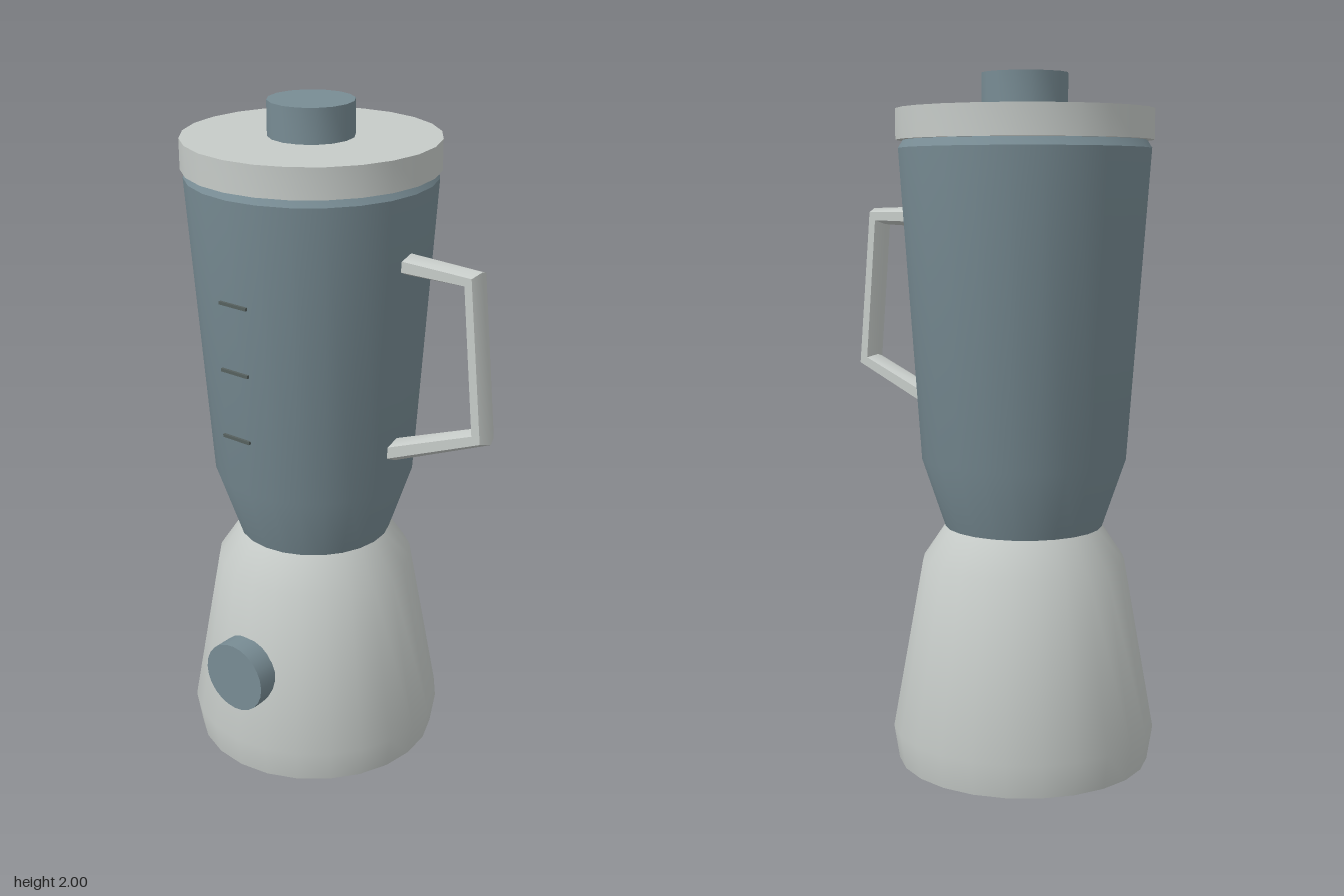
import * as THREE from 'three';
import { toCreasedNormals } from 'three/addons/utils/BufferGeometryUtils.js';

const grey = new THREE.MeshStandardMaterial({ color: 0xc6cbc8 });
const blue = new THREE.MeshStandardMaterial({ color: 0x788c94 });
const dark = new THREE.MeshStandardMaterial({ color: 0x56605e });
const AXIS_X = -0.122; // vertical axis of the body

function add(parent, name, geometry, material, x = 0, y = 0, z = 0) {
  const mesh = new THREE.Mesh(geometry, material);
  mesh.name = name;
  mesh.position.set(x, y, z);
  parent.add(mesh);
  return mesh;
}

// Turned solid from [radius, height] pairs, bottom to top
function turned(profile, sides = 24) {
  const points = profile.map(([r, y]) => new THREE.Vector2(r, y));
  return toCreasedNormals(new THREE.LatheGeometry(points, sides), 0.48);
}

// Six-sided bar swept along points in the xy plane, with thin mitred corners
function sweptBar(path, radius, halfWidth) {
  const sides = 6;
  const positions = [];
  const index = [];
  path.forEach((p, i) => {
    const before = p.clone().sub(path[Math.max(i - 1, 0)]).normalize();
    const after = path[Math.min(i + 1, path.length - 1)].clone().sub(p).normalize();
    const t = before.add(after).normalize();
    for (let k = 0; k < sides; k++) {
      const a = (k / sides) * Math.PI * 2;
      const out = Math.cos(a) * radius;
      const side = Math.sin(a) * halfWidth / Math.sin(Math.PI / 3);
      positions.push(p.x - t.y * out, p.y + t.x * out, side);
    }
  });
  for (let i = 0; i < path.length - 1; i++) {
    for (let k = 0; k < sides; k++) {
      const a = i * sides + k;
      const b = i * sides + (k + 1) % sides;
      index.push(a, b, a + sides, b, b + sides, a + sides);
    }
  }
  // End caps
  const last = (path.length - 1) * sides;
  for (let k = 1; k < sides - 1; k++) {
    index.push(0, k + 1, k, last, last + k, last + k + 1);
  }
  const geometry = new THREE.BufferGeometry();
  geometry.setAttribute('position', new THREE.Float32BufferAttribute(positions, 3));
  geometry.setIndex(index);
  return toCreasedNormals(geometry, 1.0);
}

export function createModel() {
  const model = new THREE.Group();
  model.name = 'blender';

  const body = new THREE.Group();
  body.name = 'body';
  body.position.set(AXIS_X, 0, -0.002);
  model.add(body);

  // Motor base
  add(body, 'motorBase', turned([
    [0, 0], [0.37, 0], [0.386, 0.1], [0.297, 0.6], [0.23, 0.7], [0, 0.7],
  ]), grey);

  // Jar with a small bevelled rim
  add(body, 'jar', turned([
    [0, 0.7], [0.23, 0.7], [0.298, 0.9], [0.361, 1.79], [0.342, 1.82], [0, 1.82],
  ]), blue);

  // Lid and its stopper
  add(body, 'lid', turned([[0, 1.813], [0.368, 1.813], [0.368, 1.9], [0, 1.9]]), grey);
  add(body, 'stopper', turned([[0, 1.89], [0.124, 1.89], [0.124, 2], [0, 2]], 16), blue);

  // Speed knob on the front
  const knob = add(body, 'knob', new THREE.CylinderGeometry(0.108, 0.108, 0.12, 24), blue, 0, 0.325, 0.33);
  knob.rotation.x = Math.PI / 2;

  // Measuring marks
  for (const y of [1.095, 1.295, 1.492]) {
    add(body, 'measuringMark', new THREE.BoxGeometry(0.097, 0.009, 0.008), dark, 0, y, 0.344);
  }

  // Handle on the left of the jar
  const path = [[0.18, 1.593], [0.438, 1.593], [0.48, 1.148], [0.15, 1.014]]
    .map(([x, y]) => new THREE.Vector2(x, y));
  add(model, 'handle', sweptBar(path, 0.033, 0.035), grey);

  return model;
}
